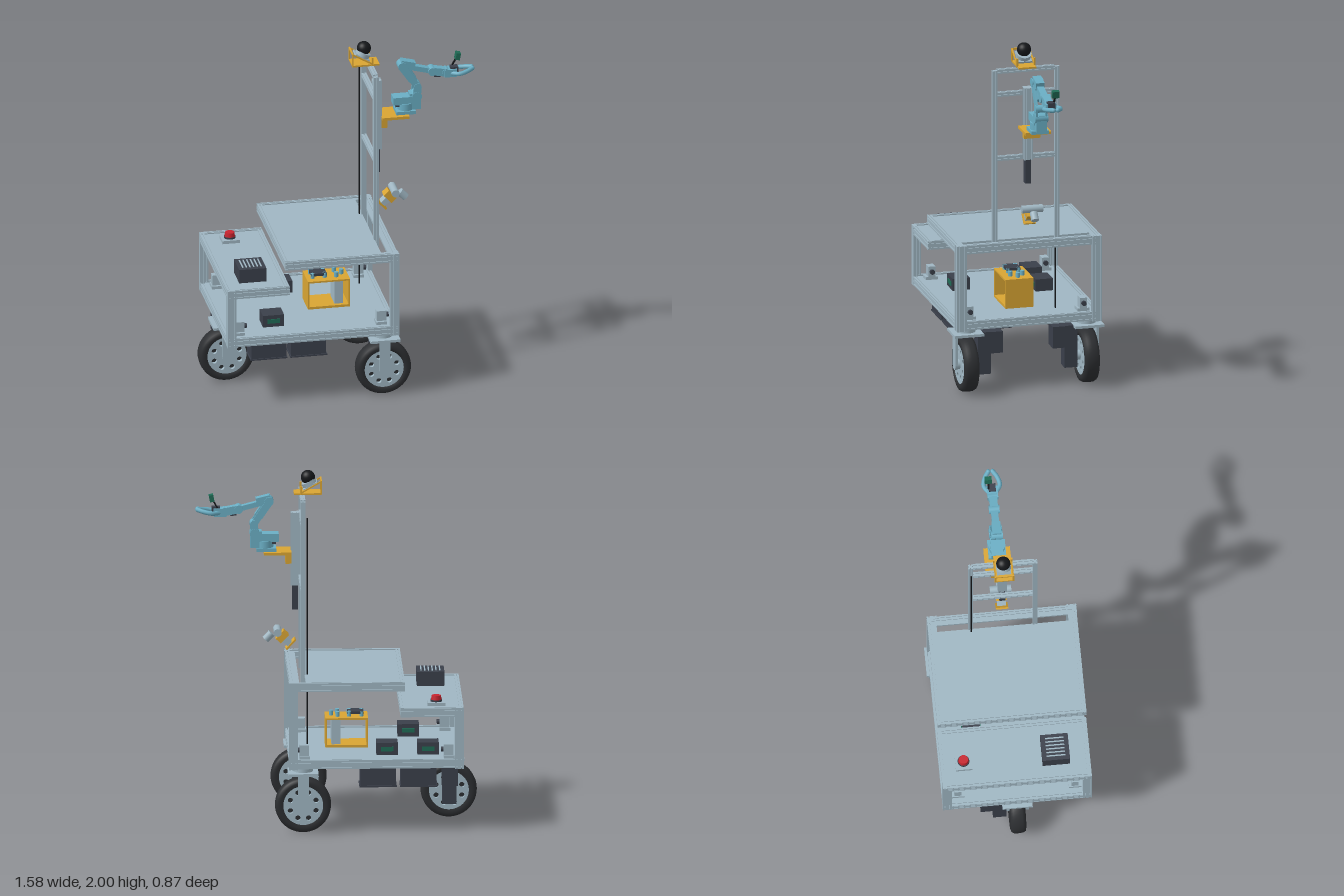
import * as THREE from 'three';

const mat = (color) => new THREE.MeshStandardMaterial({ color });
const STEEL = mat(0x9fb6c2), YELLOW = mat(0xd9a533), DARK = mat(0x3a3f4a), TYRE = mat(0x2c2e31),
  TEAL = mat(0x6aaec4), GREEN = mat(0x1f6b55), RED = mat(0xc8242e), BLACK = mat(0x15171a);

function add(parent, name, geo, material, x = 0, y = 0, z = 0) {
  const m = new THREE.Mesh(geo, material);
  m.name = name;
  m.position.set(x, y, z);
  parent.add(m);
  return m;
}
// Box given by its extents
const box = (p, name, m, x0, x1, y0, y1, z0, z1) =>
  add(p, name, new THREE.BoxGeometry(x1 - x0, y1 - y0, z1 - z0), m, (x0 + x1) / 2, (y0 + y1) / 2, (z0 + z1) / 2);

// Cylinder along a chosen axis
function cyl(p, name, m, r, len, axis, x, y, z, r2 = r) {
  const g = new THREE.CylinderGeometry(r2, r, len, 24);
  if (axis === 'x') g.rotateZ(-Math.PI / 2);
  if (axis === 'z') g.rotateX(Math.PI / 2);
  return add(p, name, g, m, x, y, z);
}

// Slotted aluminium profile, given by its extents and running along an axis
function beam(p, name, axis, x0, x1, y0, y1, z0, z1) {
  const d = [x1 - x0, y1 - y0, z1 - z0];
  const [w, h, len] = { x: [d[2], d[1], d[0]], y: [d[0], d[2], d[1]], z: d }[axis];
  const pts = [], s = 0.003, depth = 0.006;
  for (let k = 0; k < 4; k++) {
    const L = k % 2 ? h : w, off = (k % 2 ? w : h) / 2, a = k * Math.PI / 2;
    const put = (u, v) => pts.push(new THREE.Vector2(u * Math.cos(a) - v * Math.sin(a), u * Math.sin(a) + v * Math.cos(a)));
    put(-L / 2, -off);
    for (const c of L > 0.04 ? [-L / 4, L / 4] : [0]) {
      put(c - s, -off); put(c - s, -off + depth); put(c + s, -off + depth); put(c + s, -off);
    }
  }
  const g = new THREE.ExtrudeGeometry(new THREE.Shape(pts), { depth: len, bevelEnabled: false });
  g.translate(0, 0, -len / 2);
  if (axis === 'x') g.rotateY(Math.PI / 2);
  if (axis === 'y') g.rotateX(Math.PI / 2);
  return add(p, name, g, STEEL, (x0 + x1) / 2, (y0 + y1) / 2, (z0 + z1) / 2);
}

// Rectangular frame of four profiles
function frame(p, name, x0, x1, y0, y1) {
  const t = 0.025, Z = 0.42;
  for (const s of [-1, 1]) beam(p, name, 'x', x0, x1, y0, y1, s > 0 ? Z - t : -Z, s > 0 ? Z : t - Z);
  beam(p, name, 'z', x0, x0 + t, y0, y1, t - Z, Z - t);
  beam(p, name, 'z', x1 - t, x1, y0, y1, t - Z, Z - t);
}

// Driven wheel; side is the direction (in z) of the fork, the motor sits opposite
function wheelUnit(x, z, side) {
  const g = new THREE.Group();
  g.name = 'wheelUnit';
  g.position.set(x, 0, z);
  const cy = 0.158;
  const tyre = new THREE.LatheGeometry([[0.112, -0.04], [0.13, -0.045], [0.148, -0.04], [0.156, -0.025], [0.158, 0],
    [0.156, 0.025], [0.148, 0.04], [0.13, 0.045], [0.112, 0.04], [0.112, -0.04]].map(a => new THREE.Vector2(...a)), 48);
  tyre.rotateX(Math.PI / 2);
  add(g, 'tyre', tyre, TYRE, 0, cy, 0);
  const disc = new THREE.Shape().absarc(0, 0, 0.114, 0, Math.PI * 2);
  for (let i = 0; i < 8; i++) {
    const a = (i + 0.5) * Math.PI / 4;
    disc.holes.push(new THREE.Path().absarc(0.078 * Math.cos(a), 0.078 * Math.sin(a), 0.015, 0, Math.PI * 2, true));
  }
  const rim = new THREE.ExtrudeGeometry(disc, { depth: 0.02, bevelEnabled: false, curveSegments: 24 });
  for (const s of [-1, 1]) add(g, 'rim', rim, STEEL, 0, cy, s * 0.028 - 0.01);
  cyl(g, 'rimCore', TYRE, 0.112, 0.03, 'z', 0, cy, 0);
  cyl(g, 'axle', STEEL, 0.028, 0.12, 'z', 0, cy, 0);
  // fork arm with rounded end
  const arm = new THREE.Shape();
  arm.moveTo(-0.03, 0.34).lineTo(-0.03, cy).absarc(0, cy, 0.03, Math.PI, Math.PI * 2).lineTo(0.03, 0.34);
  add(g, 'fork', new THREE.ExtrudeGeometry(arm, { depth: 0.015, bevelEnabled: false }), STEEL, 0, 0, side * 0.06 - 0.0075);
  box(g, 'mountPlate', STEEL, -0.085, 0.085, 0.335, 0.35, -0.085, 0.085);
  cyl(g, 'swivel', STEEL, 0.055, 0.025, 'y', 0, 0.3625, 0);
  // L-shaped drive motor
  const zz = (a, b) => side > 0 ? [-b, -a] : [a, b];
  box(g, 'gearbox', DARK, -0.04, 0.04, 0.1, 0.345, ...zz(0.06, 0.135));
  box(g, 'motor', DARK, -0.045, 0.045, 0.22, 0.345, ...zz(0.135, 0.205));
  return g;
}

// Link between two points of the xy plane
function link(p, name, m, a, b, thick, depth, z = 0) {
  const dx = b[0] - a[0], dy = b[1] - a[1];
  const o = add(p, name, new THREE.BoxGeometry(Math.hypot(dx, dy), thick, depth), m, (a[0] + b[0]) / 2, (a[1] + b[1]) / 2, z);
  o.rotation.z = Math.atan2(dy, dx);
  return o;
}

function buildArm() {
  const g = new THREE.Group();
  g.name = 'robotArm';
  g.position.z = -0.015;
  box(g, 'armBase', TEAL, 0.34, 0.45, 1.545, 1.565, -0.05, 0.05);
  cyl(g, 'turntable', TEAL, 0.045, 0.04, 'y', 0.40, 1.585, 0);
  box(g, 'baseServo', DARK, 0.34, 0.40, 1.585, 1.62, -0.025, 0.025);
  box(g, 'shoulderBody', TEAL, 0.325, 0.45, 1.60, 1.645, -0.035, 0.035);
  const S = [0.46, 1.645], E = [0.38, 1.83], W = [0.55, 1.785], H = [0.63, 1.77];
  box(g, 'shoulderBlock', TEAL, 0.42, 0.485, 1.565, 1.66, -0.03, 0.03);
  const K = [0.465, 1.70];
  for (const s of [-1, 1]) {
    link(g, 'upperArmPlate', TEAL, S, K, 0.045, 0.012, s * 0.028);
    link(g, 'upperArmPlate', TEAL, K, E, 0.038, 0.012, s * 0.025);
  }
  link(g, 'upperArmCore', TEAL, [0.44, 1.74], [0.385, 1.82], 0.05, 0.035);
  link(g, 'elbowServo', DARK, [0.37, 1.85], [0.40, 1.80], 0.03, 0.05);
  link(g, 'forearm', TEAL, E, W, 0.028, 0.04);
  link(g, 'forearmServo', TEAL, [0.37, 1.845], [0.45, 1.825], 0.045, 0.05);
  link(g, 'wrist', TEAL, W, H, 0.045, 0.045);
  link(g, 'wristServo', DARK, [0.565, 1.775], [0.60, 1.77], 0.05, 0.035);
  for (const [q, r, l] of [[S, 0.028, 0.075], [K, 0.022, 0.07], [E, 0.026, 0.065], [W, 0.024, 0.06], [H, 0.024, 0.05]])
    cyl(g, 'joint', TEAL, r, l, 'z', q[0], q[1], 0);
  // gripper with two curved fingers
  box(g, 'gripperBody', TEAL, 0.62, 0.69, 1.745, 1.79, -0.03, 0.03);
  box(g, 'gripperServo', DARK, 0.655, 0.70, 1.765, 1.80, -0.02, 0.02);
  for (const s of [-1, 1]) {
    const c = new THREE.CatmullRomCurve3([[0.66, 1.765, 0.02], [0.70, 1.768, 0.045], [0.745, 1.775, 0.035], [0.78, 1.782, 0.012]]
      .map(a => new THREE.Vector3(a[0], a[1], a[2] * s)));
    add(g, 'finger', new THREE.TubeGeometry(c, 12, 0.013, 8), TEAL);
    add(g, 'fingertip', new THREE.SphereGeometry(0.013, 10, 8), TEAL, 0.78, 1.782, s * 0.012);
  }
  link(g, 'wristCameraStalk', BLACK, [0.67, 1.795], [0.695, 1.84], 0.008, 0.01, -0.02);
  link(g, 'wristCamera', GREEN, [0.69, 1.855], [0.715, 1.85], 0.04, 0.04, -0.02);
  return g;
}

export function createModel() {
  const root = new THREE.Group();
  root.name = 'mobileRobot';

  // Chassis frames and panels
  frame(root, 'baseFrame', -0.70, 0.275, 0.375, 0.425);
  frame(root, 'shelfFrame', -0.70, -0.345, 0.67, 0.72);
  frame(root, 'deckFrame', -0.37, 0.275, 0.82, 0.87);
  box(root, 'basePanel', STEEL, -0.68, 0.255, 0.405, 0.418, -0.40, 0.40);
  box(root, 'shelfPanel', STEEL, -0.68, -0.365, 0.70, 0.714, -0.40, 0.40);
  box(root, 'deckPanel', STEEL, -0.35, 0.185, 0.85, 0.864, -0.40, 0.40);
  box(root, 'deckPanelFront', STEEL, 0.222, 0.255, 0.85, 0.864, -0.40, 0.40);
  for (const s of [-1, 1]) {
    const z = (a, b) => s > 0 ? [a, b] : [-b, -a];
    box(root, 'deckPanelEdge', STEEL, 0.185, 0.222, 0.85, 0.864, ...z(0.37, 0.40));
    beam(root, 'rearPost', 'y', -0.70, -0.65, 0.37, 0.72, ...z(0.395, 0.42));
    beam(root, 'rearPostInner', 'y', -0.70, -0.675, 0.37, 0.68, ...z(0.37, 0.395));
    beam(root, 'frontPost', 'y', 0.23, 0.28, 0.37, 0.87, ...z(0.395, 0.422));
    beam(root, 'frontPostInner', 'y', 0.255, 0.28, 0.37, 0.87, ...z(0.365, 0.395));
    for (const x of [-0.62, 0.19]) {
      box(root, 'cornerBracket', STEEL, x - 0.03, x + 0.03, 0.418, 0.435, s * 0.33 - 0.035, s * 0.33 + 0.035);
      box(root, 'cornerSensor', STEEL, x - 0.025, x + 0.03, 0.435, 0.495, s * 0.33 - 0.02, s * 0.33 + 0.02);
      cyl(root, 'sensorPlug', DARK, 0.014, 0.02, 'x', x + 0.035, 0.465, s * 0.33);
    }
    // underslung battery boxes
    for (const x of [-0.45, -0.222]) {
      box(root, 'batteryBox', DARK, x - 0.1, x + 0.1, 0.255, 0.38, s * 0.28 - 0.06, s * 0.28 + 0.06);
      box(root, 'batteryTray', DARK, x - 0.105, x + 0.105, 0.25, 0.258, s * 0.28 - 0.065, s * 0.28 + 0.065);
    }
    // mast uprights
    beam(root, 'mastPost', 'y', 0.18, 0.207, 0.82, 1.86, ...z(0.168, 0.195));
  }
  for (const y of [1.335, 1.71, 1.845]) beam(root, 'mastCrossbar', 'z', 0.18, 0.207, y - 0.003, y + 0.022, -0.168, 0.168);
  cyl(root, 'cable', BLACK, 0.004, 1.33, 'y', 0.17, 1.1, -0.18);

  // Wheels
  root.add(wheelUnit(0.2, 0.35, 1), wheelUnit(0.2, -0.35, -1), wheelUnit(-0.63, 0, 1));

  // Controllers on the base
  for (const [x, z] of [[-0.41, 0.225], [-0.275, -0.22], [-0.505, -0.22]]) {
    box(root, 'controller', DARK, x - 0.06, x + 0.06, 0.418, 0.488, z - 0.05, z + 0.05);
    for (const s of [-1, 1]) box(root, 'controllerPort', GREEN, x - 0.035, x + 0.035, 0.44, 0.465, z + s * 0.05 - 0.004, z + s * 0.05 + 0.004);
  }

  // Open yellow housing with a module inside and fittings on top
  box(root, 'housingFloor', YELLOW, -0.175, 0.065, 0.418, 0.432, -0.082, 0.082);
  box(root, 'housingRoof', YELLOW, -0.175, 0.065, 0.577, 0.587, -0.082, 0.082);
  for (const x of [-0.175, 0.057]) box(root, 'housingWall', YELLOW, x, x + 0.008, 0.43, 0.58, -0.082, 0.082);
  box(root, 'module', STEEL, -0.02, 0.03, 0.432, 0.577, -0.06, 0.06);
  box(root, 'topPlate', DARK, -0.15, -0.06, 0.6, 0.615, -0.04, 0.04);
  for (const [x, z] of [[-0.14, -0.03], [-0.14, 0.03], [-0.07, -0.03], [-0.07, 0.03], [-0.005, 0.035], [-0.005, -0.035], [0.03, 0]])
    cyl(root, 'standoff', TEAL, 0.012, 0.03, 'y', x, 0.6, z);

  // Emergency stop and ventilated box on the rear shelf
  box(root, 'stopPlate', STEEL, -0.60, -0.50, 0.714, 0.732, -0.337, -0.243);
  cyl(root, 'stopCollar', DARK, 0.033, 0.01, 'y', -0.55, 0.737, -0.29);
  cyl(root, 'stopButton', RED, 0.03, 0.025, 'y', -0.55, 0.753, -0.29, 0.026);
  box(root, 'ventBox', DARK, -0.612, -0.457, 0.714, 0.795, 0.15, 0.305);
  for (let i = 0; i < 6; i++)
    box(root, 'ventSlat', STEEL, -0.59 + i * 0.021, -0.583 + i * 0.021, 0.795, 0.8, 0.175, 0.28);

  // Lift on the mast and the arm shelf
  beam(root, 'liftRail', 'y', 0.215, 0.258, 1.34, 1.76, -0.025, 0.025);
  box(root, 'liftCap', STEEL, 0.207, 0.25, 1.7, 1.76, -0.022, 0.022);
  box(root, 'liftMotor', DARK, 0.215, 0.25, 1.2, 1.34, -0.017, 0.017);
  box(root, 'armShelf', YELLOW, 0.255, 0.41, 1.53, 1.546, -0.09, 0.06);
  box(root, 'shelfBracket', YELLOW, 0.255, 0.288, 1.475, 1.53, -0.06, 0.035);
  root.add(buildArm());

  // Head: yellow cradle with a tilted sensor
  const head = new THREE.Group();
  head.name = 'head';
  root.add(head);
  box(head, 'cradlePlate', YELLOW, 0.085, 0.24, 1.868, 1.878, -0.05, 0.05);
  box(head, 'cradleBar', YELLOW, 0.083, 0.091, 1.94, 1.95, -0.055, 0.055);
  for (const s of [-1, 1]) {
    box(head, 'cradleUpright', YELLOW, 0.083, 0.091, 1.872, 1.95, s * 0.05 - 0.005, s * 0.05 + 0.005);
    link(head, 'cradleStrut', YELLOW, [0.087, 1.945], [0.2, 1.88], 0.008, 0.008, s * 0.05);
    box(head, 'cradleFront', YELLOW, 0.195, 0.205, 1.87, 1.92, s * 0.05 - 0.005, s * 0.05 + 0.005);
  }
  const sensor = new THREE.Group();
  sensor.name = 'headSensor';
  sensor.position.set(0.153, 1.925, 0);
  sensor.rotation.z = -0.5;
  head.add(sensor);
  box(sensor, 'sensorBase', STEEL, -0.045, 0.045, -0.02, -0.008, -0.04, 0.04);
  cyl(sensor, 'sensorRing', STEEL, 0.042, 0.025, 'y', 0, 0.003, 0);
  add(head, 'sensorDome', new THREE.SphereGeometry(0.04, 24, 16), BLACK, 0.16, 1.96, 0);

  // Tilted lower camera in front of the mast
  const cam = new THREE.Group();
  cam.name = 'lowerCamera';
  cam.position.set(0.31, 1.04, 0);
  cam.rotation.z = 0.75;
  root.add(cam);
  box(cam, 'cameraFoot', YELLOW, -0.07, -0.06, -0.03, 0.045, -0.035, 0.035);
  box(cam, 'cameraNeck', STEEL, -0.06, -0.02, -0.012, 0.02, -0.025, 0.025);
  box(cam, 'cameraYoke', YELLOW, -0.02, 0.02, -0.025, 0.04, -0.03, 0.03);
  cyl(cam, 'cameraBar', STEEL, 0.022, 0.12, 'z', 0.04, 0.012, 0);
  cyl(cam, 'cameraLens', STEEL, 0.022, 0.05, 'y', 0.055, -0.045, 0);
  return root;
}
